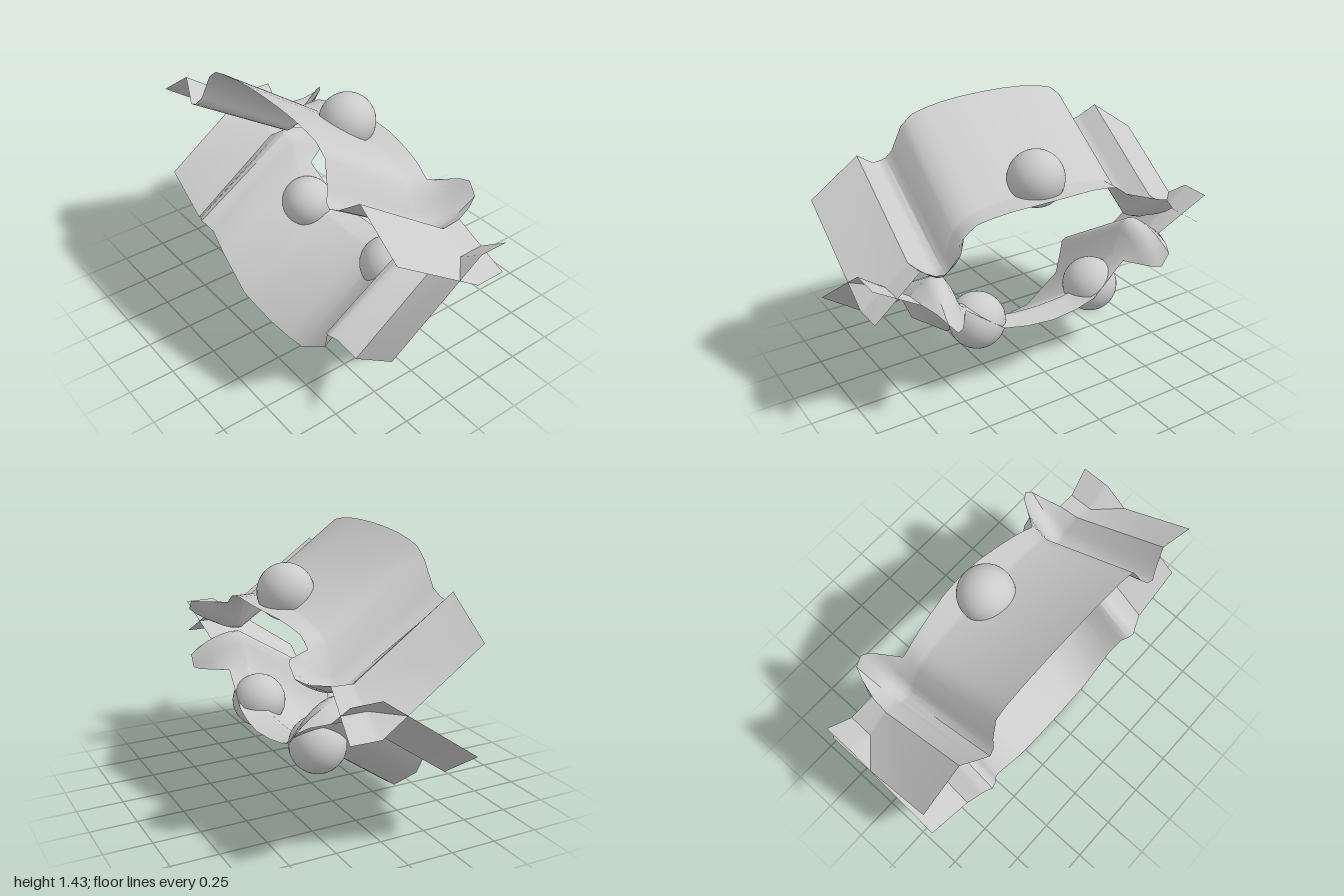
import * as THREE from 'three';
import { toCreasedNormals } from 'three/addons/utils/BufferGeometryUtils.js';

const material = new THREE.MeshStandardMaterial({ color: 0xcccccc, side: THREE.DoubleSide });
const MID = 0.758;   // height where the two jaws meet
const DROP = 0.372;  // height lost along the sloping panel
const KNEE_Z = -0.16; // where the slope turns into the rear skirt

// Half stations: [front x, front rise from MID, front z, rear x, rear rise, rear z]
const sides = [
  [0.49, 0.57, 0.37, 0.49, 0.2, -0.27],
  [0.54, 0.435, 0.395, 0.55, 0.2, -0.36],
  [0.565, 0.395, 0.42, 0.585, 0.2, -0.41],
  [0.6, 0.382, 0.43, 0.625, 0.197, -0.435],
  [0.64, 0.39, 0.41, 0.675, 0.135, -0.43],
  [0.665, 0.408, 0.4, 0.7, 0.105, -0.37],
  [0.74, 0.463, 0.37, 0.73, 0.092, -0.275],
  [1, 0.28, 0.37, 1, -0.09, -0.325],
];
const upperMiddle = [
  [0, 0.672, 0.37, 0, 0.3, -0.325],
  [0.13, 0.669, 0.37, 0.13, 0.297, -0.318],
  [0.25, 0.66, 0.37, 0.25, 0.288, -0.3],
  [0.35, 0.643, 0.37, 0.35, 0.271, -0.285],
  [0.42, 0.625, 0.37, 0.42, 0.253, -0.273],
  [0.455, 0.6, 0.37, 0.455, 0.228, -0.27],
];
const lowerMiddle = [
  [0, 0.757, 0.37, 0, 0.385, -0.325],
  [0.15, 0.749, 0.37, 0.15, 0.377, -0.315],
  [0.28, 0.73, 0.37, 0.28, 0.358, -0.297],
];

// Sheet swept back along the slope, then out into a flared rear skirt
function jawSheet(name, middle, sign) {
  const half = [...middle, ...sides];
  const stations = [
    ...half.slice(1).reverse().map(([x, y, z, bx, by, bz]) => [-x, y, z, -bx, by, bz]),
    ...half,
  ];
  const rows = 6;
  const positions = [];
  const index = [];
  stations.forEach(([x, y, z, bx, by, bz], i) => {
    const kneeY = y - DROP;
    positions.push(x, MID + sign * y, z);
    for (let r = 0; r <= rows; r++) {
      const t = r / rows;
      positions.push(
        x + (bx - x) * t,
        MID + sign * (kneeY + (by - kneeY) * t * t),
        KNEE_Z + (bz - KNEE_Z) * t,
      );
    }
    if (i === 0) return;
    const n = rows + 2;
    for (let r = 0; r < n - 1; r++) {
      const a = (i - 1) * n + r;
      const b = i * n + r;
      if (sign > 0) index.push(a, b, b + 1, a, b + 1, a + 1);
      else index.push(a, b + 1, b, a, a + 1, b + 1);
    }
  });
  const geometry = new THREE.BufferGeometry();
  geometry.setAttribute('position', new THREE.Float32BufferAttribute(positions, 3));
  geometry.setIndex(index);
  const mesh = new THREE.Mesh(toCreasedNormals(geometry, 0.7), material);
  mesh.name = name;
  return mesh;
}

function ball(name, x, y) {
  const mesh = new THREE.Mesh(new THREE.SphereGeometry(0.15, 32, 24), material);
  mesh.position.set(x, y, -0.147);
  mesh.name = name;
  return mesh;
}

export function createModel() {
  const group = new THREE.Group();
  group.name = 'jawFrame';
  group.add(
    jawSheet('upperJaw', upperMiddle, 1),
    jawSheet('lowerJaw', lowerMiddle, -1),
    // One ball above, a pair below
    ball('upperBall', 0, 1.115),
    ball('lowerBallLeft', 0.36, 0.4),
    ball('lowerBallRight', -0.36, 0.4),
  );
  return group;
}
